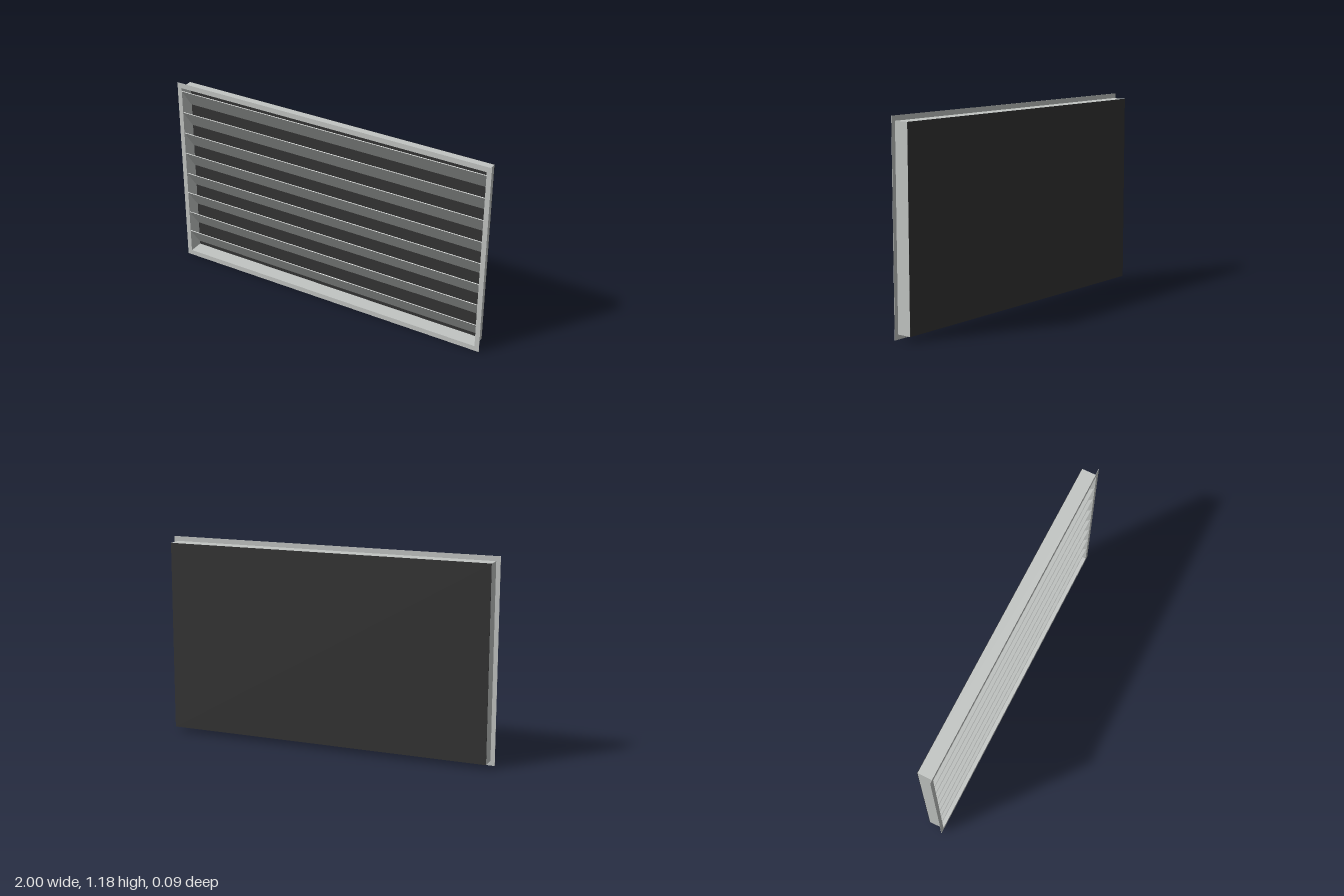
import * as THREE from 'three';

const HEIGHT = 1.18, HALF_W = 0.975, LOW = 0.028, HIGH = 1.152, FRONT = 0.045;

// Rectangular ring extruded along z, starting at z0
function ring(outer, inner, z0, depth) {
  const trace = (path, [x, y0, y1]) => {
    path.moveTo(-x, y0);
    path.lineTo(x, y0);
    path.lineTo(x, y1);
    path.lineTo(-x, y1);
    path.closePath();
    return path;
  };
  const shape = trace(new THREE.Shape(), outer);
  shape.holes.push(trace(new THREE.Path(), inner));
  const geometry = new THREE.ExtrudeGeometry(shape, { depth, bevelEnabled: false });
  return geometry.translate(0, 0, z0);
}

export function createModel() {
  const group = new THREE.Group();
  const metal = new THREE.MeshStandardMaterial({ color: 0xc2c5c3 });
  metal.name = 'light grey metal';
  const dark = new THREE.MeshStandardMaterial({ color: 0x333333 });
  dark.name = 'dark backing';

  const add = (name, geometry, material) => {
    const mesh = new THREE.Mesh(geometry, material);
    mesh.name = name;
    group.add(mesh);
    return mesh;
  };

  const wall = 0.003, plate = 0.002;
  const inside = [HALF_W - wall, LOW + wall, HIGH - wall];

  // Thin flange around the front opening
  add('frontFlange', ring([1, 0, HEIGHT], inside, FRONT - plate, plate), metal);

  // Shallow casing behind the flange
  add('casing', ring([HALF_W, LOW, HIGH], inside, -FRONT + plate, 2 * FRONT - 2 * plate), metal);

  // Dark plate closing the back
  const back = add('backPlate', new THREE.BoxGeometry(2 * HALF_W, HIGH - LOW, plate), dark);
  back.position.set(0, (LOW + HIGH) / 2, -FRONT + plate / 2);

  // Eight slats, leaning from high at the front to low at the back
  const rise = 0.117, run = 0.082, pitch = 0.1363;
  const slat = new THREE.BoxGeometry(2 * inside[0], Math.hypot(rise, run), 0.004);
  for (let i = 0; i < 8; i++) {
    const blade = add(`slat${i + 1}`, slat, metal);
    blade.position.set(0, 0.115 + i * pitch, 0.001);
    blade.rotation.x = Math.atan2(run, rise);
  }
  return group;
}
